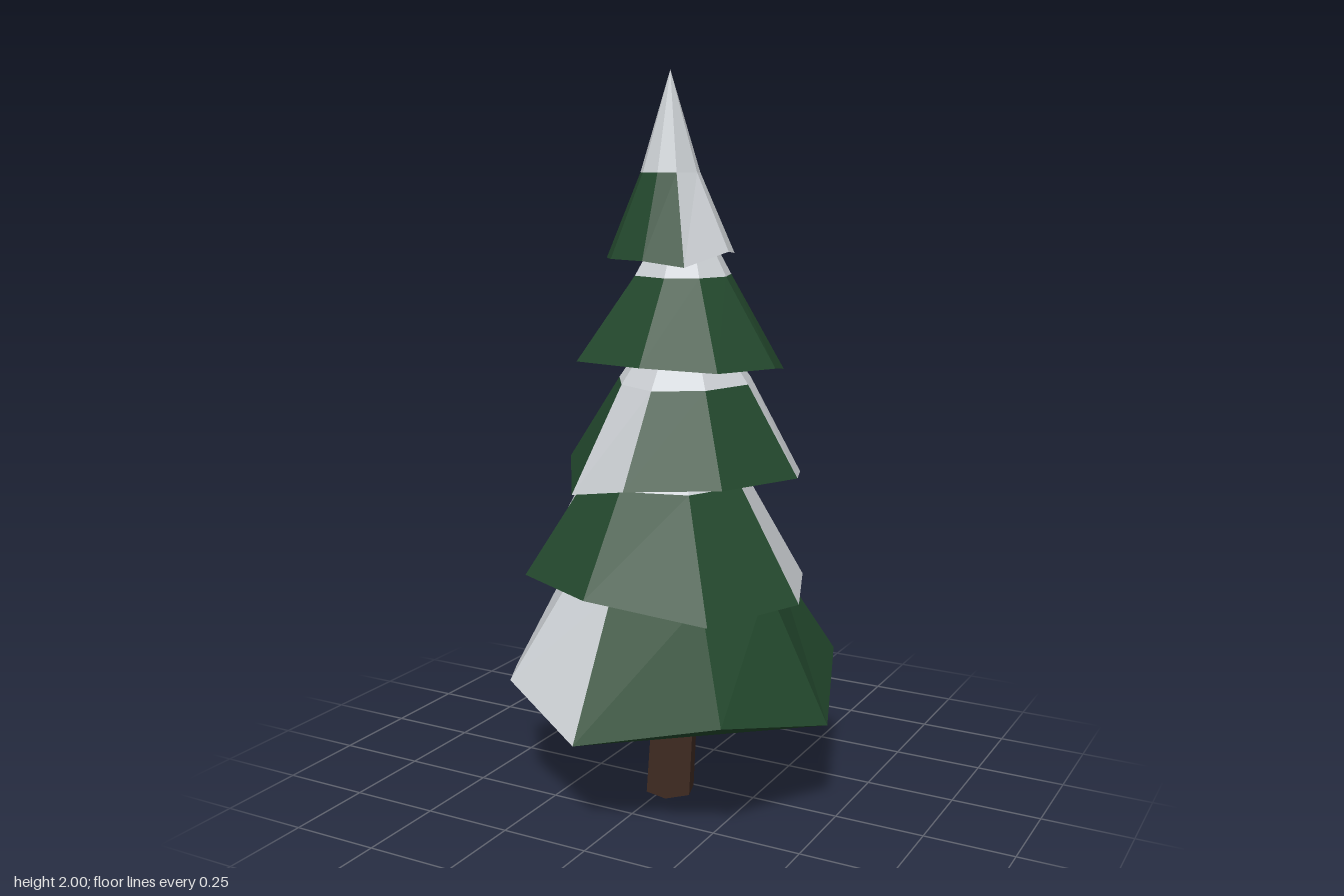
import * as THREE from 'three';

const mat = (name, color) => {
  const m = new THREE.MeshStandardMaterial({ color });
  m.name = name;
  return m;
};

// Flat-shaded mesh from a list of triangles
function facets(name, tris, material) {
  const g = new THREE.BufferGeometry().setFromPoints(tris.flat());
  g.computeVertexNormals();
  const mesh = new THREE.Mesh(g, material);
  mesh.name = name;
  return mesh;
}

// Each tier: uneven octagonal rim [x, y, z] clockwise from the back,
// snow line height, how far it tapers there, tip height, and fully snowy sides
const TIERS = [
  { line: 0.64, taper: 0.62, tip: 0.98, snowy: [4, 5], rim: [
    [-0.01, 0.28, -0.5], [0.34, 0.35, -0.36], [0.49, 0.28, 0.05], [0.35, 0.37, 0.41],
    [-0.035, 0.28, 0.495], [-0.33, 0.36, 0.345], [-0.495, 0.29, 0.075], [-0.32, 0.36, -0.37]] },
  { line: 0.91, taper: 0.57, tip: 1.2, snowy: [1, 5], rim: [
    [0.01, 0.61, -0.37], [0.3, 0.61, -0.21], [0.41, 0.61, 0.07], [0.28, 0.605, 0.35],
    [-0.035, 0.655, 0.435], [-0.31, 0.65, 0.29], [-0.445, 0.59, 0.035], [-0.235, 0.64, -0.24]] },
  { line: 1.18, taper: 0.56, tip: 1.45, snowy: [1, 4, 6, 7], rim: [
    [0.055, 0.91, -0.31], [0.285, 0.905, -0.215], [0.37, 0.935, 0], [0.28, 0.945, 0.27],
    [0.065, 0.945, 0.4], [-0.16, 0.89, 0.285], [-0.3, 0.945, 0.065], [-0.175, 0.92, -0.17]] },
  { line: 1.465, taper: 0.46, tip: 1.7, snowy: [6, 7], rim: [
    [0.04, 1.24, -0.285], [0.25, 1.2, -0.17], [0.315, 1.23, 0.03], [0.24, 1.235, 0.22],
    [0.065, 1.25, 0.315], [-0.18, 1.24, 0.22], [-0.22, 1.235, 0.05], [-0.165, 1.19, -0.165]] },
  { line: 1.735, taper: 0.46, tip: 2, snowy: [1, 2, 6], rim: [
    [0.005, 1.53, -0.155], [0.14, 1.52, -0.08], [0.172, 1.53, 0.022], [0.115, 1.495, 0.165],
    [0.005, 1.51, 0.19], [-0.11, 1.51, 0.155], [-0.185, 1.505, 0.05], [-0.115, 1.52, -0.085]] },
];

function makeTier({ rim, line, taper, tip, snowy }, index, needles, snow) {
  const low = rim.map((p) => new THREE.Vector3(...p));
  const n = low.length;
  const apex = low.reduce((s, p) => s.add(p), new THREE.Vector3()).divideScalar(n).setY(tip);
  const high = low.map((p) => p.clone().lerp(apex, 1 - taper).setY(line));
  const green = [], white = [];
  low.forEach((a, i) => {
    const j = (i + 1) % n, b = low[j];
    // sloping side and snow cap above the line
    (snowy.includes(i) ? white : green).push([b, a, high[i]], [b, high[i], high[j]]);
    white.push([high[j], high[i], apex]);
    // underside flap at every second corner
    if (i % 2) green.push([low[i - 1], a, b]);
  });
  // middle of the underside
  green.push([low[0], low[2], low[4]], [low[0], low[4], low[6]]);
  const tier = new THREE.Group();
  tier.name = `branchTier${index + 1}`;
  tier.add(facets('needles', green, needles), facets('snow', white, snow));
  return tier;
}

export function createModel() {
  const needles = mat('pine green', 0x23482d);
  const snow = mat('snow white', 0xcfd3d7);
  const bark = mat('bark brown', 0x402b22);
  const tree = new THREE.Group();
  tree.name = 'snowyTree';

  // Slightly leaning six-sided trunk
  let g = new THREE.CylinderGeometry(0.066, 0.071, 0.4, 6).rotateY(0.3).translate(0, 0.2, 0);
  const p = g.attributes.position;
  for (let i = 0; i < p.count; i++) {
    const y = p.getY(i);
    p.setX(i, p.getX(i) + 0.014 + y * 0.03);
    p.setZ(i, p.getZ(i) + 0.055 - y * 0.06);
  }
  g = g.toNonIndexed();
  g.computeVertexNormals();
  const trunk = new THREE.Mesh(g, bark);
  trunk.name = 'trunk';
  tree.add(trunk);

  TIERS.forEach((t, i) => tree.add(makeTier(t, i, needles, snow)));
  return tree;
}
